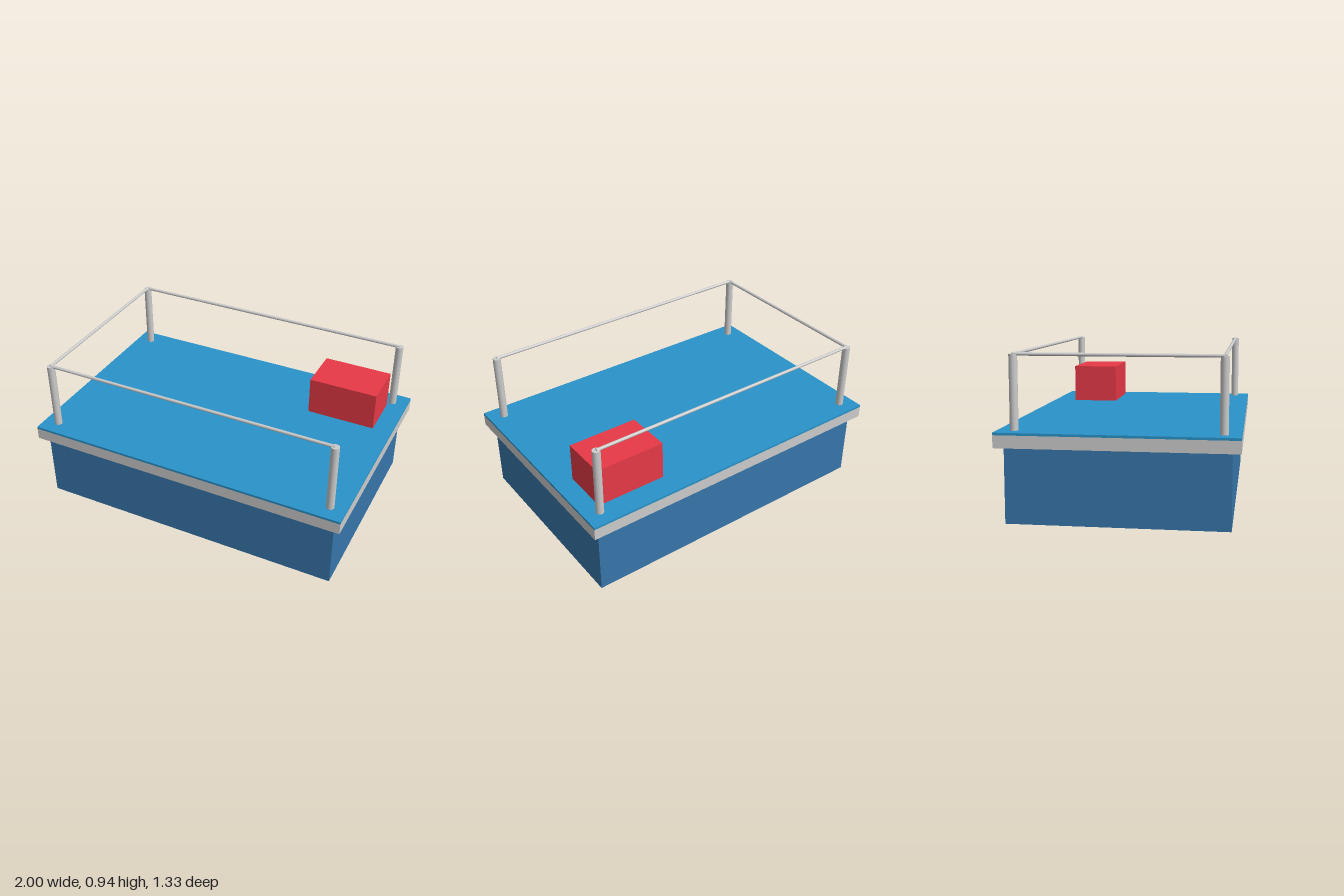
import * as THREE from 'three';

export function createModel() {
  const model = new THREE.Group();
  model.name = 'pontoonBoat';
  const paint = (color) => new THREE.MeshStandardMaterial({ color });
  const grey = paint(0xcccccc);

  const add = (name, geometry, material, x, y, z) => {
    const mesh = new THREE.Mesh(geometry, material);
    mesh.name = name;
    mesh.position.set(x, y, z);
    model.add(mesh);
    return mesh;
  };
  // Box standing on height y
  const block = (name, w, h, d, material, x, y, z) =>
    add(name, new THREE.BoxGeometry(w, h, d), material, x, y + h / 2, z);

  // Base, deck slab and deck covering
  block('base', 1.905, 0.429, 1.238, paint(0x3776ab), 0, 0, 0);
  block('deckSlab', 2, 0.071, 1.333, grey, 0, 0.429, 0);
  block('deckCover', 2, 0.014, 1.333, paint(0x2a93c9), 0, 0.5, 0);

  // Box on the deck, in the back corner
  block('deckBox', 0.429, 0.238, 0.286, paint(0xe63946), 0.667, 0.514, -0.381);

  // Corner posts
  const px = 0.905, pz = 0.571, deckY = 0.514, topY = 0.931;
  const postGeometry = new THREE.CylinderGeometry(0.0238, 0.0238, topY - deckY, 20);
  for (const x of [-px, px])
    for (const z of [-pz, pz]) add('post', postGeometry, grey, x, (deckY + topY) / 2, z);

  // Thin rails on three sides; the +x end stays open
  const rail = (name, length) => new THREE.CylinderGeometry(0.0095, 0.0095, length, 12);
  for (const side of [-1, 1])
    add(side > 0 ? 'frontRail' : 'backRail', rail('', 2 * px), grey, 0, topY, side * pz).rotation.z = Math.PI / 2;
  add('endRail', rail('', 2 * pz), grey, -px, topY, 0).rotation.x = Math.PI / 2;

  return model;
}
